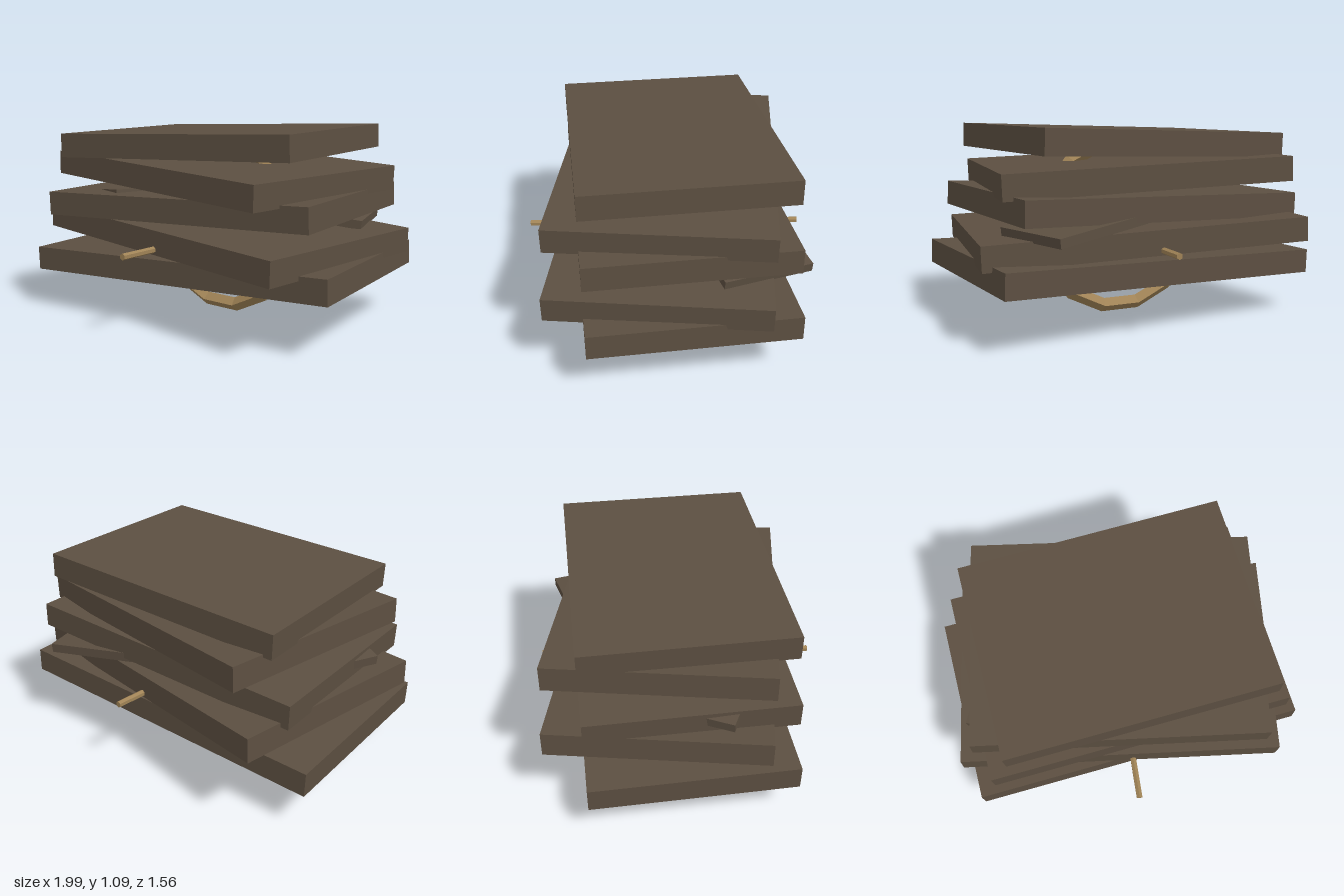
import * as THREE from 'three';

const rad = THREE.MathUtils.degToRad;

export function createModel() {
  const model = new THREE.Group();
  model.name = 'slabStack';

  const darkBrown = new THREE.MeshStandardMaterial({ color: 0x5c4f41 });
  darkBrown.name = 'dark brown';
  const tan = new THREE.MeshStandardMaterial({ color: 0xa08356 });
  tan.name = 'tan';

  // a box turned about y, with its own long axis tilted
  const addSlab = (name, size, position, yaw, tilt) => {
    const mesh = new THREE.Mesh(new THREE.BoxGeometry(...size), darkBrown);
    mesh.name = name;
    mesh.position.set(...position);
    mesh.rotation.set(0, rad(yaw), rad(tilt));
    model.add(mesh);
  };

  // five stacked slabs, narrowing upwards and alternating in twist and tilt
  for (let i = 0; i < 5; i++) {
    const side = i % 2 === 0 ? 1 : -1;
    const depth = side > 0 ? 1.095 : 1.155;
    addSlab(`slab${i + 1}`, [1.885 - i * 0.106, 0.133, depth],
      [0, 0.322 + i * 0.168, -0.03], 6.1 * side, 2 * side);
  }

  // two thin plates sticking out of the middle of the stack
  addSlab('rightPlate', [0.57, 0.05, 0.49], [-0.524, 0.675, 0.137], -22, 6);
  addSlab('leftPlate', [0.57, 0.05, 0.49], [0.434, 0.583, -0.426], 17.7, -6.5);

  // faceted upright ring through the stack
  const ringGeometry = new THREE.TorusGeometry(0.48, 0.04, 4, 14).toNonIndexed();
  ringGeometry.computeVertexNormals();
  const ring = new THREE.Mesh(ringGeometry, tan);
  ring.name = 'ring';
  ring.position.set(0, 0.507, -0.03);
  model.add(ring);

  // thin rod running from front to back
  const rodGeometry = new THREE.CylinderGeometry(0.018, 0.018, 1.555, 6).toNonIndexed();
  rodGeometry.computeVertexNormals();
  rodGeometry.rotateX(Math.PI / 2);
  const rod = new THREE.Mesh(rodGeometry, tan);
  rod.name = 'rod';
  rod.position.set(0.01, 0.45, 0);
  rod.rotation.y = rad(-0.5);
  model.add(rod);

  return model;
}
